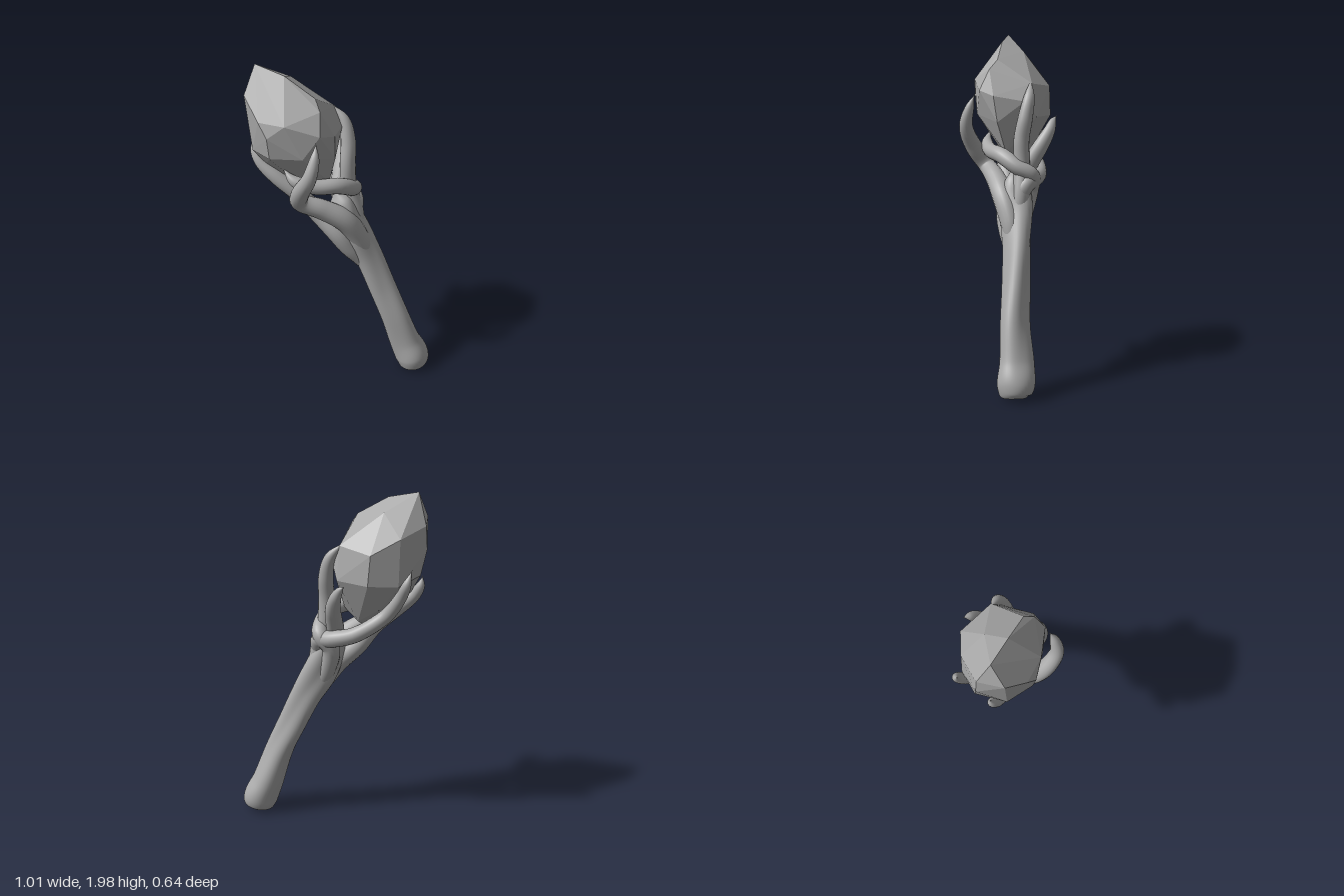
import * as THREE from 'three';
import { ConvexGeometry } from 'three/addons/geometries/ConvexGeometry.js';

const grey = new THREE.MeshStandardMaterial({ color: 0xaaaaaa });
grey.name = 'stoneGrey';

// Sweeps a round or lobed section along stations [x, y, z, radius]
function sweep(stations, steps, sides, lobe = () => 1) {
  const path = new THREE.CatmullRomCurve3(stations.map(s => new THREE.Vector3(s[0], s[1], s[2])));
  const radius = new THREE.SplineCurve(stations.map((s, i) => new THREE.Vector2(i, s[3])));
  const pos = [], index = [];
  const normal = new THREE.Vector3(0, 0, 1), side = new THREE.Vector3(), p = new THREE.Vector3();
  for (let i = 0; i <= steps; i++) {
    const t = i / steps;
    const c = path.getPoint(t), tan = path.getTangent(t);
    const r = Math.max(0.0005, radius.getPoint(t).y);
    normal.addScaledVector(tan, -normal.dot(tan)).normalize();
    side.crossVectors(tan, normal);
    for (let j = 0; j < sides; j++) {
      const a = j / sides * Math.PI * 2, k = r * lobe(a, t);
      p.copy(c).addScaledVector(normal, Math.cos(a) * k).addScaledVector(side, Math.sin(a) * k);
      pos.push(p.x, p.y, p.z);
      if (i < steps) {
        const n = (j + 1) % sides, q = i * sides;
        index.push(q + j, q + n, q + sides + j, q + n, q + sides + n, q + sides + j);
      }
    }
  }
  const g = new THREE.BufferGeometry();
  g.setAttribute('position', new THREE.Float32BufferAttribute(pos, 3));
  g.setIndex(index);
  g.computeVertexNormals();
  return g;
}

export function createModel() {
  const group = new THREE.Group();
  const add = (name, geometry) => {
    const m = new THREE.Mesh(geometry, grey);
    m.name = name;
    group.add(m);
  };

  // Faceted crystal head
  const corners = [
    [-.43, 2, .17], [-.26, 1.96, .14], [-.09, 1.855, .1], [-.04, 1.8, .13], [-.3, 1.9, .02],
    [-.44, 1.85, .265], [-.32, 1.74, .31], [-.17, 1.74, .28], [-.26, 1.66, .32], [-.26, 1.53, .3],
    [-.41, 1.52, .25], [-.09, 1.54, .23], [-.01, 1.68, .18], [.02, 1.65, .08], [.01, 1.5, .06],
    [-.5, 1.83, .13], [-.51, 1.7, .13], [-.49, 1.56, .1], [-.43, 1.78, -.03], [-.31, 1.7, -.14],
    [-.1, 1.72, -.11], [-.04, 1.62, -.09], [-.1, 1.53, -.14], [-.3, 1.53, -.15], [-.43, 1.52, -.04],
    [-.38, 1.4, .17], [-.3, 1.36, -.02], [-.2, 1.29, .1], [-.18, 1.28, -.04], [-.05, 1.32, .03],
    [-.17, 1.24, .03],
  ];
  add('crystal', new ConvexGeometry(corners.map(c => new THREE.Vector3(...c))));

  // Gnarled handle with twisting ridges and a swollen foot
  add('handle', sweep([
    [.411, .022, -.215, 0], [.41, .028, -.215, .062], [.408, .045, -.213, .09], [.397, .1, -.212, .104],
    [.356, .2, -.197, .095], [.292, .4, -.16, .083], [.205, .6, -.135, .08], [.12, .8, -.11, .082],
    [.05, .95, -.08, .092], [.01, 1.07, -.06, .085], [-.02, 1.17, -.04, .065], [-.05, 1.24, -.01, 0],
  ], 90, 40, (a, t) => {
    const k = Math.min(1, Math.max(0, (t - .2) * 3));
    return 1 + k * (.1 * Math.cos(3 * a - 11 * t) + .05 * Math.cos(2 * a - 7 * t + 1));
  }));

  // Tapering roots that wind out of the handle and grip the crystal
  const roots = {
    frontClaw: [[.13, .8, -.09, .04], [.095, .94, -.06, .06], [.04, 1.08, .01, .064], [-.06, 1.17, .1, .058],
      [-.14, 1.235, .19, .05], [-.095, 1.34, .25, .05], [-.02, 1.47, .27, .04], [-.005, 1.58, .24, .026],
      [-.015, 1.66, .21, 0]],
    leftGripClaw: [[.11, .78, -.07, .04], [.05, .88, -.025, .055], [-.01, .98, .01, .06], [-.13, 1.1, .045, .052],
      [-.21, 1.22, .1, .048], [-.32, 1.325, .155, .044], [-.41, 1.41, .18, .036], [-.45, 1.475, .18, .025],
      [-.463, 1.535, .18, 0]],
    crossingClaw: [[.05, .85, -.1, .04], [-.02, 1.0, -.1, .05], [-.05, 1.12, -.12, .05], [0, 1.2, -.15, .046],
      [.035, 1.255, -.07, .046], [.01, 1.31, .03, .046], [-.08, 1.33, .14, .042], [-.17, 1.37, .2, .032],
      [-.24, 1.44, .21, 0]],
    tallBackClaw: [[.07, .95, -.09, .045], [.04, 1.1, -.1, .05], [.005, 1.25, -.09, .046], [0, 1.4, -.085, .045],
      [-.01, 1.53, -.105, .042], [-.045, 1.65, -.115, .03], [-.13, 1.745, -.09, 0]],
    shortBackClaw: [[0, 1.08, -.07, .045], [-.055, 1.2, -.08, .05], [-.075, 1.29, -.125, .048],
      [-.095, 1.37, -.17, .044], [-.13, 1.45, -.205, .034], [-.165, 1.505, -.215, .02], [-.2, 1.535, -.225, 0]],
    sideBackClaw: [[.05, 1.05, -.08, .04], [.02, 1.16, -.13, .048], [-.08, 1.19, -.15, .048], [-.2, 1.225, -.115, .044],
      [-.34, 1.33, -.02, .04], [-.43, 1.45, -.02, .034], [-.477, 1.54, -.035, .025], [-.495, 1.62, -.01, 0]],
  };
  for (const [name, stations] of Object.entries(roots)) add(name, sweep(stations, 54, 18));

  return group;
}
